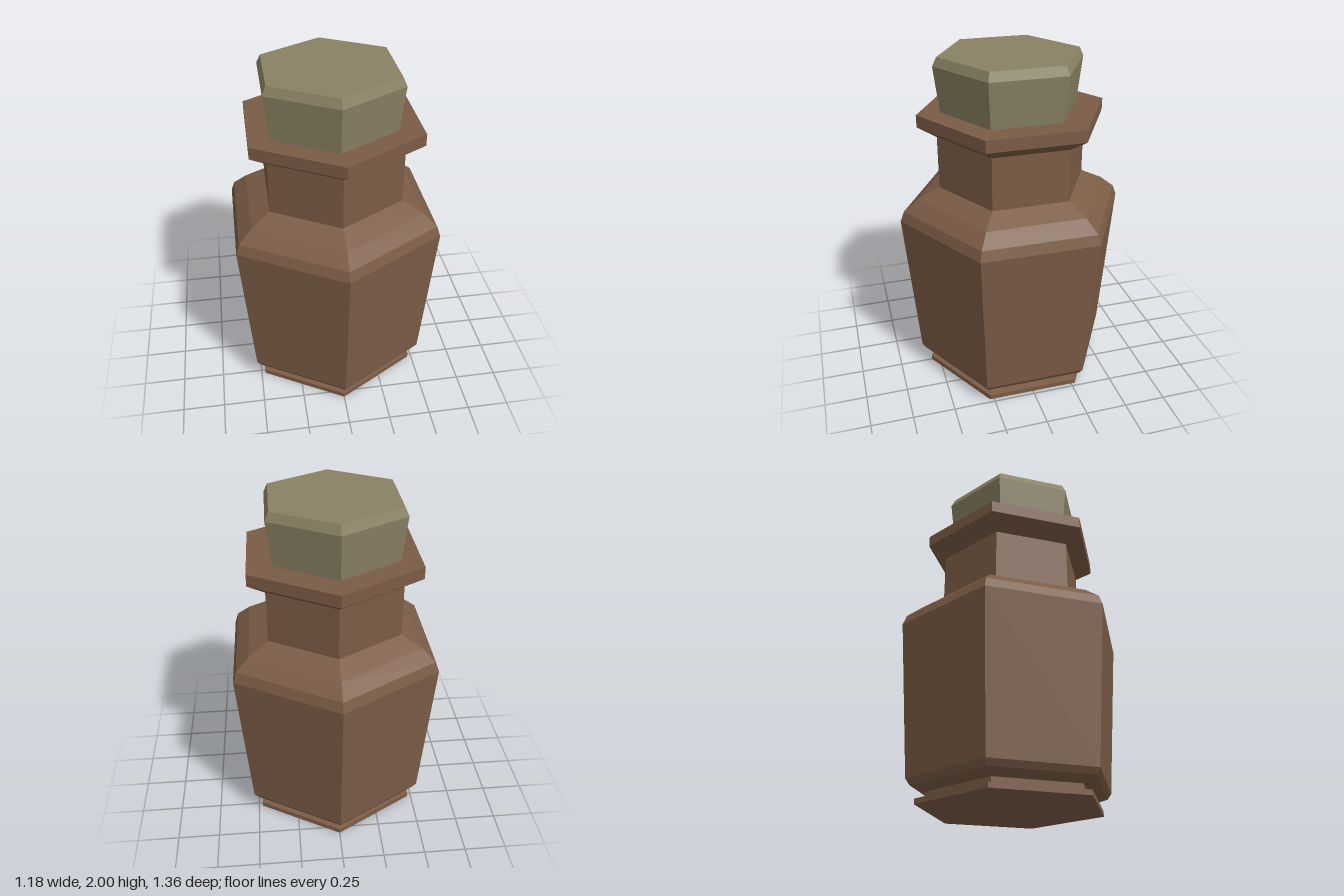
import * as THREE from 'three';

// Six-sided solid of revolution with a corner facing the front;
// profile is a list of [corner radius, height] from bottom to top.
function hexTurned(name, profile, color) {
  const points = profile.map(([r, y]) => new THREE.Vector2(r, y));
  const mesh = new THREE.Mesh(
    new THREE.LatheGeometry(points, 6),
    new THREE.MeshStandardMaterial({ color, flatShading: true })
  );
  mesh.name = name;
  return mesh;
}

export function createModel() {
  const model = new THREE.Group();
  model.name = 'corkedBottle';
  const brown = 0x7b5c46;
  const corkColor = 0x8a8163;

  // Foot plate and the recessed groove above it
  model.add(hexTurned('foot', [
    [0, 0], [0.55, 0], [0.55, 0.03], [0.495, 0.035], [0.495, 0.07],
  ], brown));

  // Tapered body, bevelled shoulder and neck
  model.add(hexTurned('body', [
    [0.495, 0.07], [0.58, 0.10], [0.605, 0.135], [0.68, 1.05],
    [0.657, 1.11], [0.57, 1.18], [0.44, 1.24], [0.44, 1.55],
  ], brown));

  // Flared lip
  model.add(hexTurned('lip', [
    [0.44, 1.55], [0.55, 1.62], [0.55, 1.69], [0, 1.69],
  ], brown));

  // Stopper, seated slightly off centre
  const stopper = hexTurned('stopper', [
    [0.4, 1.67], [0.402, 1.69], [0.433, 1.95], [0.408, 2], [0, 2],
  ], corkColor);
  stopper.position.set(-0.011, 0, 0.011);
  model.add(stopper);

  return model;
}
